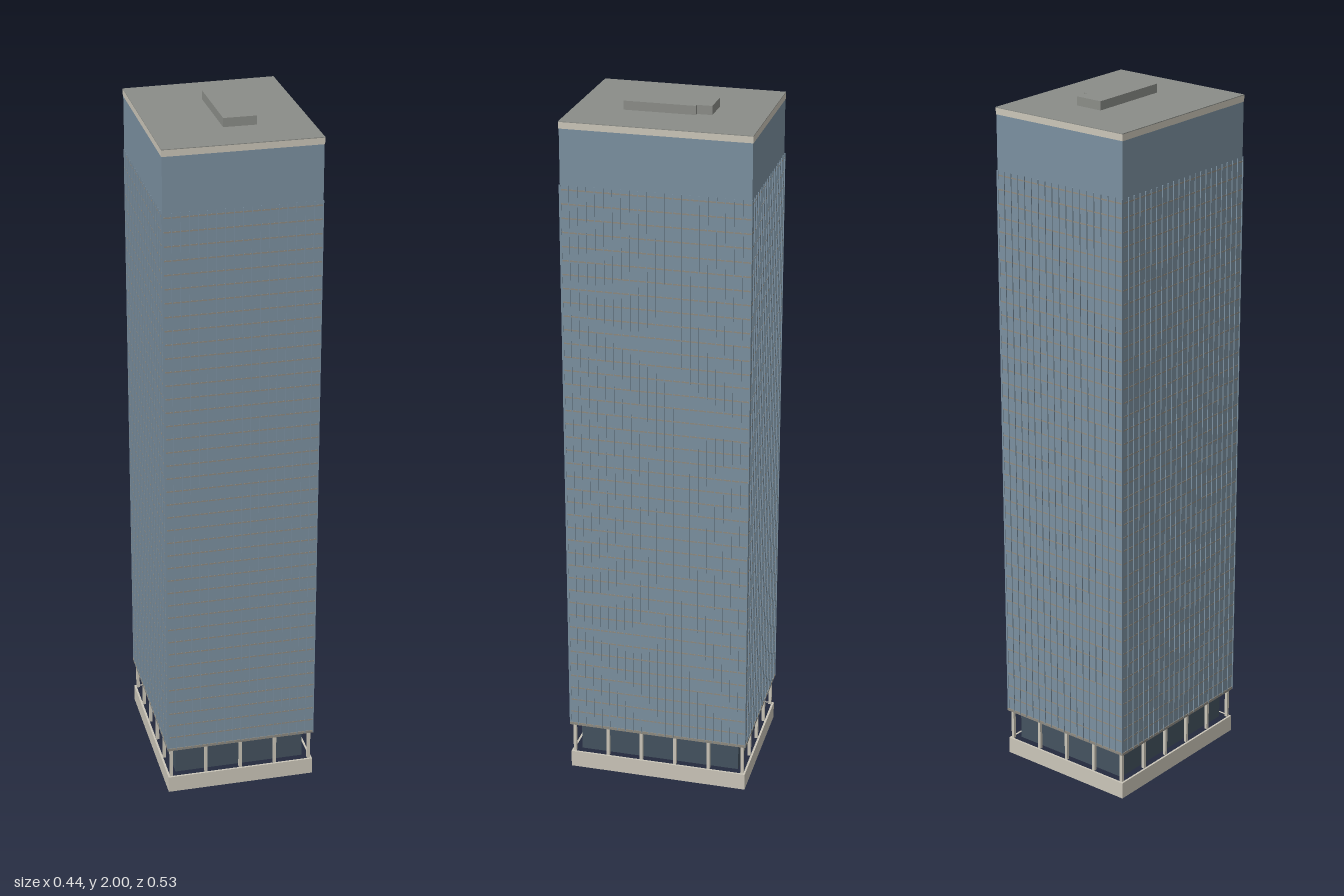
import * as THREE from 'three';
import { mergeGeometries } from 'three/addons/utils/BufferGeometryUtils.js';

const mat = (name, color) => new THREE.MeshStandardMaterial({ name, color });

// Slightly skewed floor plan as [x, z] corners: back left, back right, front right, front left
const PLAN = [[-0.215, -0.253], [0.213, -0.264], [0.216, 0.262], [-0.217, 0.262]];

// Plan scaled so that every side moves in (or out) by about d
const inset = (d) => PLAN.map(([x, z]) => [x - Math.sign(x) * d, z - Math.sign(z) * d]);

// Vertical prism over a plan, with an optional hole
function prism(points, y0, y1, hole) {
  const toV = (list) => list.map(([x, z]) => new THREE.Vector2(x, -z));
  const shape = new THREE.Shape(toV(points));
  if (hole) shape.holes.push(new THREE.Path(toV(hole)));
  const geo = new THREE.ExtrudeGeometry(shape, { depth: y1 - y0, bevelEnabled: false });
  return geo.rotateX(-Math.PI / 2).translate(0, y0, 0);
}

// Upright bars spread along each side of a plan: bays[i] gaps on side i
function uprights(plan, bays, width, depth, y0, y1) {
  const bars = [];
  plan.forEach(([ax, az], i) => {
    const [bx, bz] = plan[(i + 1) % 4];
    const angle = -Math.atan2(bz - az, bx - ax);
    for (let k = 0; k < bays[i]; k++) {
      const t = k / bays[i];
      const bar = new THREE.BoxGeometry(width, y1 - y0, depth).rotateY(angle);
      bars.push(bar.translate(ax + (bx - ax) * t, (y0 + y1) / 2, az + (bz - az) * t));
    }
  });
  return mergeGeometries(bars);
}

export function createModel() {
  const stone = mat('pale stone', 0xcbc6b9);
  const glass = mat('blue glass', 0x7b90a0);
  const dark = mat('dark lobby glass', 0x44525f);
  const taupe = mat('taupe metal', 0x8e8a80);
  const roofGrey = mat('roof grey', 0x8b8d88);

  const group = new THREE.Group();
  const add = (name, geometry, material) => {
    const mesh = new THREE.Mesh(geometry, material);
    mesh.name = name;
    group.add(mesh);
  };

  // Open base: perimeter wall, columns and recessed lobby walls
  add('baseWall', prism(PLAN, 0, 0.05, inset(0.006)), stone);
  add('columns', uprights(inset(0.01), [4, 5, 4, 5], 0.009, 0.009, 0.05, 0.145), stone);
  add('lobbyWalls', prism(inset(0.026), 0.05, 0.145, inset(0.03)), dark);

  // Tower shaft with a trim at its foot
  add('shaft', prism(PLAN, 0.145, 1.955), glass);
  add('footTrim', prism(inset(-0.002), 0.142, 0.15, inset(0.004)), taupe);

  // Thin floor lines round the shaft
  const lines = [];
  for (let i = 1; i <= 41; i++) {
    const y = 0.145 + i * 0.04;
    lines.push(prism(inset(-0.0006), y, y + 0.004, inset(0.002)));
  }
  add('floorLines', mergeGeometries(lines), taupe);

  // Slim vertical fins, stopping below the plain top storeys
  add('fins', uprights(PLAN, [18, 22, 18, 22], 0.0022, 0.006, 0.145, 1.8), glass);

  // Parapet band, roof and plant room
  add('parapet', prism(inset(-0.001), 1.955, 1.973), stone);
  add('roof', prism(inset(-0.001), 1.973, 1.975), roofGrey);
  add('plantRoom', prism([
    [-0.025, -0.115], [0.057, -0.115], [0.057, -0.073],
    [0.068, -0.073], [0.068, 0.127], [-0.023, 0.127],
  ], 1.974, 2.0), roofGrey);

  return group;
}
